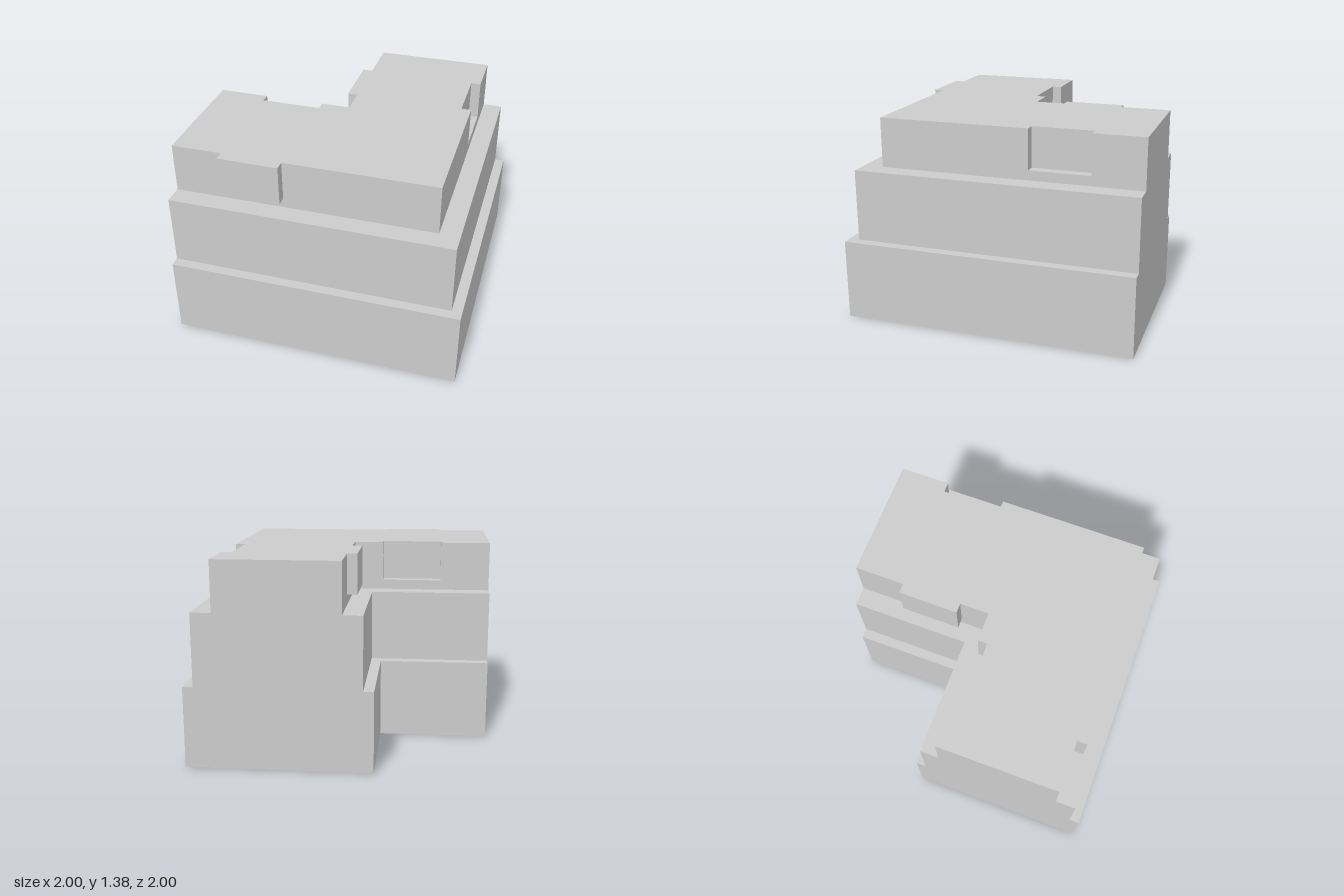
import * as THREE from 'three';

const material = new THREE.MeshStandardMaterial({ color: 0xcccccc, flatShading: true });

// Extrudes a plan outline of [x, z] points upward from y0 to y1
function slab(name, plan, y0, y1) {
  const shape = new THREE.Shape(plan.map(([x, z]) => new THREE.Vector2(x, -z)));
  const geometry = new THREE.ExtrudeGeometry(shape, { depth: y1 - y0, bevelEnabled: false });
  geometry.rotateX(-Math.PI / 2).translate(0, y0, 0);
  const mesh = new THREE.Mesh(geometry, material);
  mesh.name = name;
  return mesh;
}

// L-shaped plan, symmetric about x = z; the arms end flush at x = -1 and z = -1.
// Offsets shift a tab on each long wall: out = push outward, cut = push inward.
function lPlan(outer, inner, tab = 0) {
  const plan = [[-1, outer]];
  const a = -0.655, b = -0.24;
  // front wall, tab standing out
  if (tab) plan.push([a, outer], [a, outer + tab], [b, outer + tab], [b, outer]);
  plan.push([outer, outer]);
  // side wall, recess
  if (tab) plan.push([outer, b], [outer - tab, b], [outer - tab, a], [outer, a]);
  plan.push([outer, -1], [inner, -1]);
  // inner side wall, tab standing out
  if (tab) plan.push([inner, a], [inner - tab, a], [inner - tab, b], [inner, b]);
  plan.push([inner, inner]);
  // inner back wall, recess
  if (tab) plan.push([b, inner], [b, inner + tab], [a, inner + tab], [a, inner]);
  plan.push([-1, inner]);
  return plan;
}

export function createModel() {
  const model = new THREE.Group();
  model.name = 'steppedCornerBlock';
  model.add(
    slab('lowerTier', lPlan(1, -0.24), 0, 0.55),
    slab('middleTier', lPlan(0.93, -0.17), 0.55, 1.04),
    slab('upperTierFoot', lPlan(0.793, -0.037), 1.04, 1.107),
    slab('upperTierWithTabs', lPlan(0.793, -0.037, 0.068), 1.107, 1.38),
  );
  return model;
}
